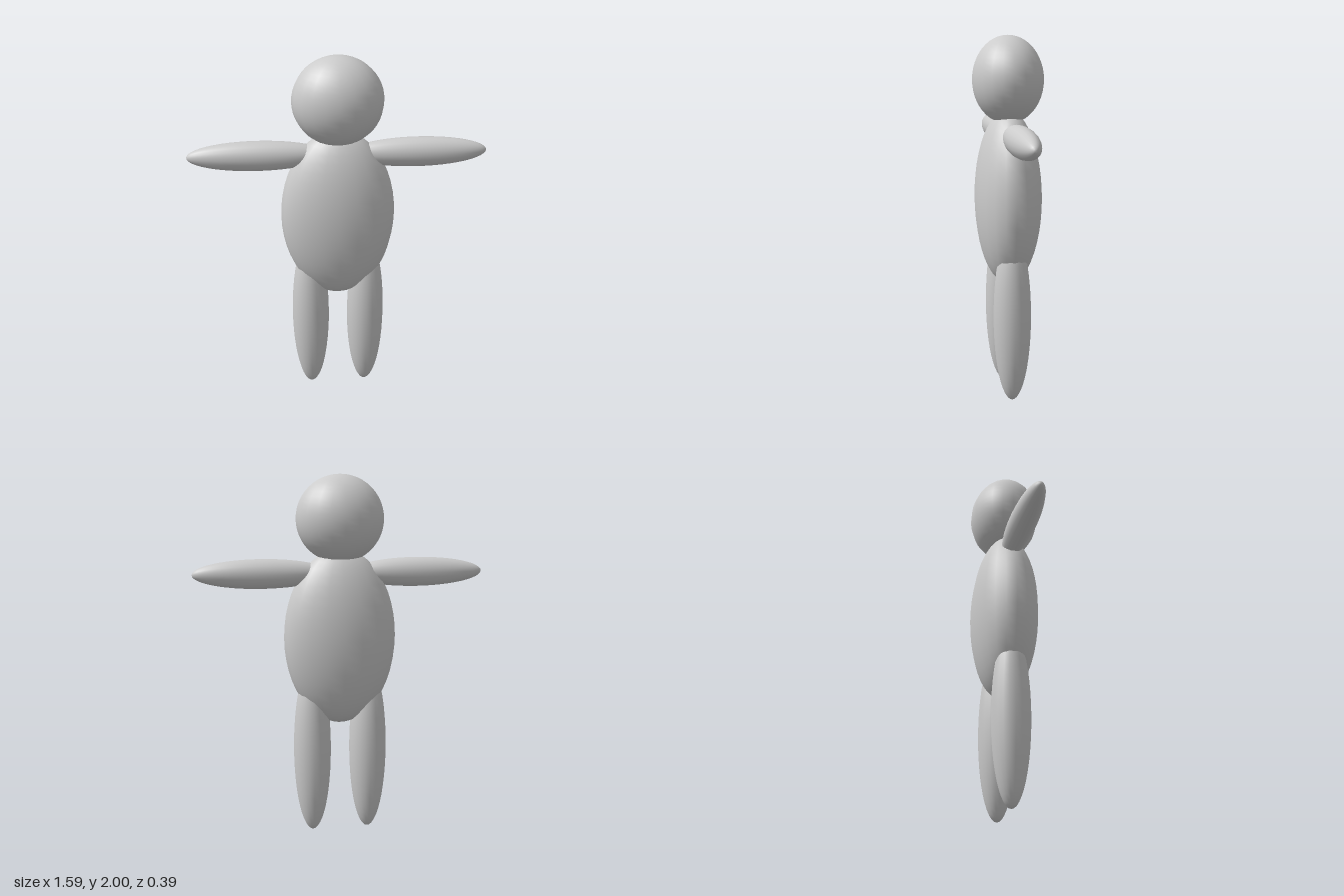
import * as THREE from 'three';

const material = new THREE.MeshStandardMaterial({ color: 0xcccccc });

// Ellipsoid with its poles along y, or along x for sideways limbs
function ellipsoid(name, center, radii, sideways = false) {
  const geometry = new THREE.SphereGeometry(1, 20, 24);
  if (sideways) geometry.rotateZ(-Math.PI / 2);
  geometry.scale(...radii);
  const mesh = new THREE.Mesh(geometry, material);
  mesh.name = name;
  mesh.position.set(...center);
  return mesh;
}

export function createModel() {
  const figure = new THREE.Group();
  figure.name = 'figure';

  figure.add(
    ellipsoid('head', [0, 1.765, 0], [0.24, 0.235, 0.193]),
    ellipsoid('torso', [0, 1.12, 0], [0.31, 0.485, 0.182])
  );

  // Limbs, mirrored left and right
  for (const [side, s] of [['left', 1], ['right', -1]]) {
    figure.add(
      ellipsoid(side + 'Arm', [s * 0.425, 1.475, 0], [0.37, 0.08, 0.073], true),
      ellipsoid(side + 'Leg', [s * 0.158, 0.485, 0], [0.105, 0.485, 0.104])
    );
  }
  return figure;
}
